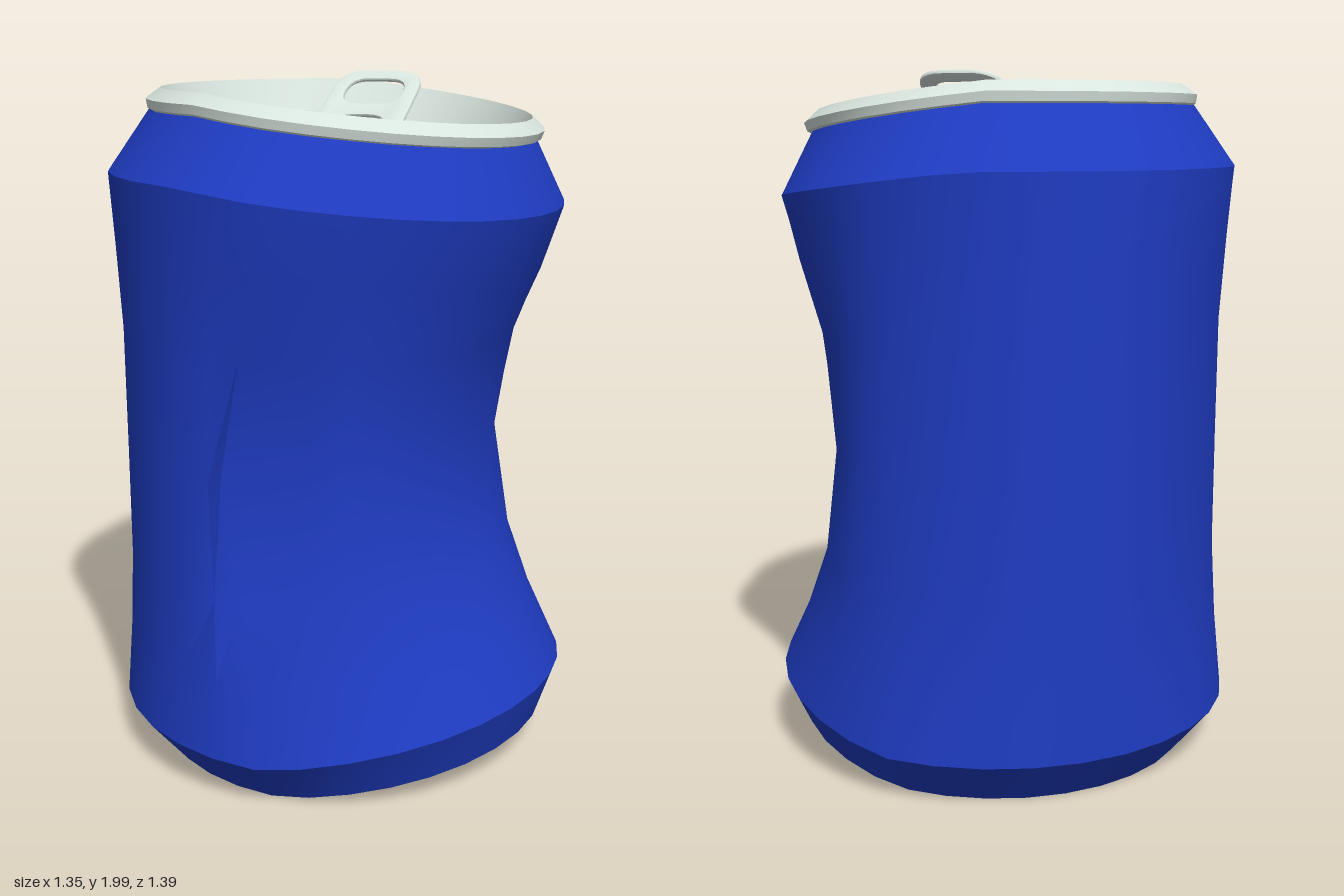
import * as THREE from 'three';
import { toCreasedNormals } from 'three/addons/utils/BufferGeometryUtils.js';

const SIDES = 32;
const CENTRE = 0.02;
const clamp = (v) => Math.min(1, Math.max(0, v));

// Crumple: the +x side sinks at the top and lifts at the bottom
function bend(x, y, z) {
  const top = clamp((y - 1.05) / 0.65), bottom = clamp((0.8 - y) / 0.65);
  return [x, y - top * 0.116 * Math.max(0, x + 0.2) + bottom * 0.17 * Math.max(0, x - 0.05), z];
}

// One ring of the can, flattened on +x, dented and pressed in
function ring(r, y, flat = 0.06, dent = 0, inset = 0) {
  const points = [];
  for (let i = 0; i < SIDES; i++) {
    let a = (i / SIDES) * Math.PI * 2;
    let radius = r * (1 - flat * Math.max(0, Math.cos(a)));
    // The -x half keeps its full radius along the diagonals
    const keep = a > Math.PI ? 1 : 0.45;
    const pressed = Math.cos(a) < -0.01 ? 1 - keep * Math.sin(2 * a) ** 2 : 1;
    radius -= inset * pressed + dent * 0.2 * Math.max(0, Math.cos(a - 0.16));
    // Overlapping fold at the front edge of the dent
    const fold = clamp((dent - 0.35) / 0.62);
    if (i === 7) radius -= 0.02 * fold;
    if (i === 8) { a += 0.28 * fold; radius -= 0.05 * fold; }
    if (i === 9) { a += 0.06 * fold; radius -= 0.015 * fold; }
    points.push([CENTRE + radius * Math.cos(a), y, radius * Math.sin(a)]);
  }
  return points;
}

// Skin between closed loops of equal length, listed from bottom to top
function loft(loops, crease = 0.5) {
  const n = loops[0].length, index = [];
  for (let j = 0; j < loops.length - 1; j++) {
    for (let i = 0; i < n; i++) {
      const a = j * n + i, b = j * n + ((i + 1) % n);
      index.push(a, a + n, b, b, a + n, b + n);
    }
  }
  const geometry = new THREE.BufferGeometry();
  const positions = loops.flat().flatMap((p) => bend(...p));
  geometry.setAttribute('position', new THREE.Float32BufferAttribute(positions, 3));
  geometry.setIndex(index);
  return toCreasedNormals(geometry, crease);
}

// Flat plate with an opening, tilted along with the lid
function plate(outer, hole) {
  const flat = (loop) => loop.map(([x, , z]) => new THREE.Vector2(x, -z));
  const shape = new THREE.Shape(flat(outer));
  shape.holes.push(new THREE.Path(flat(hole)));
  const geometry = new THREE.ShapeGeometry(shape);
  geometry.rotateX(-Math.PI / 2);
  const p = geometry.attributes.position;
  for (let i = 0; i < p.count; i++) p.setXYZ(i, ...bend(p.getX(i), outer[0][1], p.getZ(i)));
  geometry.computeVertexNormals();
  return geometry;
}

// Rounded rectangle traced onto a shape or path
function roundRect(path, x0, y0, x1, y1, r) {
  path.moveTo(x0 + r, y0);
  path.lineTo(x1 - r, y0).quadraticCurveTo(x1, y0, x1, y0 + r);
  path.lineTo(x1, y1 - r).quadraticCurveTo(x1, y1, x1 - r, y1);
  path.lineTo(x0 + r, y1).quadraticCurveTo(x0, y1, x0, y1 - r);
  path.lineTo(x0, y0 + r).quadraticCurveTo(x0, y0, x0 + r, y0);
  return path;
}

export function createModel() {
  const model = new THREE.Group();
  model.name = 'crushedCan';
  const blue = new THREE.MeshStandardMaterial({ color: 0x1f3cc2, side: THREE.DoubleSide });
  blue.name = 'bluePaint';
  const metal = new THREE.MeshStandardMaterial({ color: 0xd8e4de, side: THREE.DoubleSide });
  metal.name = 'bareMetal';
  const add = (name, geometry, material, parent = model) => {
    const mesh = new THREE.Mesh(geometry, material);
    mesh.name = name;
    parent.add(mesh);
    return mesh;
  };

  // Painted body: bevel, dented wall and shoulder
  const R = 0.695;
  add('lowerBevel', loft([ring(0.58, 0, -0.04), ring(R, 0.14)]), blue);
  // Rows of height, flattening, dent and inset
  const wallRows = [
    [0.14, 0.06, 0, 0], [0.36, 0.068, 0.31, 0.028], [0.59, 0.075, 0.65, 0.045], [0.93, 0.085, 0.97, 0.045],
    [1.28, 0.095, 0.59, 0.043], [1.52, 0.102, 0.22, 0.022], [1.73, 0.108, 0, 0],
  ];
  add('wall', loft(wallRows.map((row) => ring(R, ...row)), 0.7), blue);
  add('shoulder', loft([ring(R, 1.73, 0.108), ring(0.575, 1.9, 0.07)]), blue);

  // Domed underside
  const domeProfile = [[0.58, 0], [0.5, 0.035], [0.3, 0.1], [0.002, 0.135]];
  add('base', loft(domeProfile.map(([r, y]) => ring(r, y, -0.04)), 0.6), metal);

  // Lid
  const lid = new THREE.Group();
  lid.name = 'lid';
  model.add(lid);
  // Rim rows of radius, height and flattening
  const rimProfile = [
    [0.56, 1.895, 0.065], [0.578, 1.905, 0.05], [0.582, 1.93, 0.04], [0.54, 1.96, 0.03],
    [0.482, 1.85, 0], [0.468, 1.848, -0.03], [0.46, 1.862, -0.04], [0.45, 1.865, -0.04],
  ];
  add('rim', loft(rimProfile.map((row) => ring(...row)), 0.4), metal, lid);

  // Teardrop recess in the panel
  const outline = [
    [-0.04, -0.4], [0.08, -0.4], [0.15, -0.33], [0.21, -0.16], [0.3, 0.14], [0.275, 0.26],
    [0.2, 0.345], [0.1, 0.385], [-0.13, 0.385], [-0.22, 0.3], [-0.26, 0.14], [-0.19, -0.17], [-0.1, -0.36],
  ];
  const recess = (y, scale) => outline.map(([x, z]) => [0.02 + (x - 0.02) * scale, y, z * scale]);
  add('panel', plate(ring(0.45, 1.865, -0.04), recess(1.865, 1)), metal, lid);
  add('recessWall', loft([recess(1.815, 0.98), recess(1.865, 1)], 0.7), metal, lid);

  // Drinking hole with a turned-down edge
  const hole = (y) => Array.from({ length: 28 }, (_, i) => {
    const a = (i / 28) * Math.PI * 2;
    return [0.02 + 0.248 * Math.cos(a), y, 0.175 + 0.19 * Math.sin(a)];
  });
  add('recessFloor', plate(recess(1.815, 0.98), hole(1.815)), metal, lid);
  add('holeEdge', loft([hole(1.79), hole(1.815)]), metal, lid);

  // Raised pull tab with a finger hole and a tongue cut-out
  const tab = roundRect(new THREE.Shape(), -0.13, 0.01, 0.13, 0.365, 0.09);
  tab.holes.push(roundRect(new THREE.Path(), -0.098, 0.2, 0.098, 0.335, 0.065));
  const slot = new THREE.Path();
  slot.moveTo(-0.09, 0.06).lineTo(-0.04, 0.075).lineTo(0, 0.105).lineTo(0.04, 0.075).lineTo(0.09, 0.06);
  slot.quadraticCurveTo(0.1, 0.155, 0.03, 0.16).lineTo(-0.03, 0.16).quadraticCurveTo(-0.1, 0.155, -0.09, 0.06);
  tab.holes.push(slot);
  const tabGeometry = new THREE.ExtrudeGeometry(tab, {
    depth: 0.004, bevelThickness: 0.005, bevelSize: 0.008, bevelSegments: 2, curveSegments: 8,
  });
  const pullTab = add('pullTab', toCreasedNormals(tabGeometry, 0.7), metal, lid);
  pullTab.rotation.x = -(Math.PI / 2 - 0.58);
  pullTab.position.set(0.025, 1.785, 0.045);
  return model;
}
